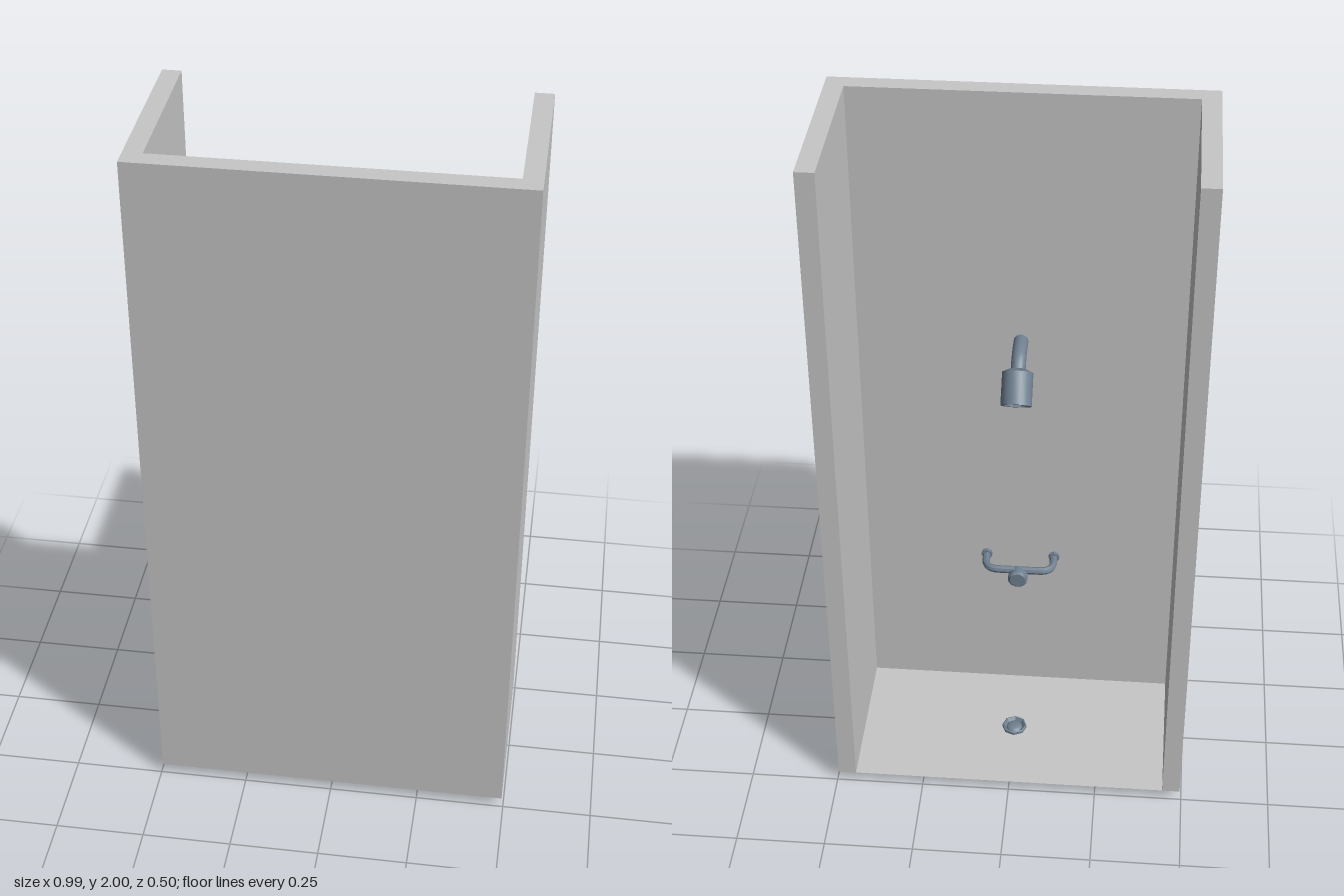
import * as THREE from 'three';
import { toCreasedNormals } from 'three/addons/utils/BufferGeometryUtils.js';

const V2 = (x, y) => new THREE.Vector2(x, y);
const V3 = (x, y, z) => new THREE.Vector3(x, y, z);

export function createModel() {
  const group = new THREE.Group();
  group.name = 'showerStall';
  const wallGrey = new THREE.MeshStandardMaterial({ color: 0xc6c6c6, side: THREE.DoubleSide });
  wallGrey.name = 'wallGrey';
  const steel = new THREE.MeshStandardMaterial({ color: 0x708090, side: THREE.DoubleSide });
  steel.name = 'steel';

  const add = (name, geometry, material, parent = group) => {
    const mesh = new THREE.Mesh(geometry, material);
    mesh.name = name;
    parent.add(mesh);
    return mesh;
  };
  const lathe = (points, sides) =>
    toCreasedNormals(new THREE.LatheGeometry(points.map(p => V2(...p)), sides), 0.6);

  // Walls: hollow U-shaped shell, open at the bottom, outline in (x, z)
  const X = 0.495, Z0 = -0.248, Z1 = 0.248, T = 0.05, Y0 = 0.03, Y1 = 2;
  const outline = [
    [-X, Z0], [-X, Z1], [X, Z1], [X, Z0],
    [X - T, Z0], [X - T, Z1 - T], [-X + T, Z1 - T], [-X + T, Z0],
  ];
  const positions = [];
  outline.forEach(([ax, az], i) => {
    const [bx, bz] = outline[(i + 1) % outline.length];
    positions.push(ax, Y0, az, bx, Y0, bz, bx, Y1, bz);
    positions.push(ax, Y0, az, bx, Y1, bz, ax, Y1, az);
  });
  const sides = new THREE.BufferGeometry();
  sides.setAttribute('position', new THREE.Float32BufferAttribute(positions, 3));
  sides.computeVertexNormals();
  add('walls', sides, wallGrey);

  // Top rim of the walls
  const rim = new THREE.ShapeGeometry(new THREE.Shape(outline.map(([x, z]) => V2(x, -z))));
  rim.rotateX(-Math.PI / 2);
  add('wallRim', rim, wallGrey).position.y = Y1;

  // Floor sheet between the walls
  const floor = new THREE.PlaneGeometry(2 * (X - T), Z1 - T - Z0);
  floor.rotateX(-Math.PI / 2);
  add('floor', floor, wallGrey).position.set(0, Y0, (Z0 + Z1 - T) / 2);

  // Drain: eight-sided cup with a flange and a round plug
  const drain = new THREE.Group();
  drain.name = 'drain';
  drain.position.z = -0.025;
  group.add(drain);
  add('drainCup', lathe([
    [0, 0.008], [0.015, 0.008], [0.02, 0], [0.03, 0.03], [0.036, 0.032],
    [0.036, 0.04], [0.032, 0.042], [0.024, 0.032], [0, 0.032],
  ], 8), steel, drain);
  const plug = new THREE.SphereGeometry(0.023, 20, 8, 0, Math.PI * 2, 0, Math.PI / 2);
  plug.scale(1, 0.4, 1);
  add('drainPlug', plug, steel, drain).position.y = 0.032;

  // Shower arm bending down from the wall
  const armPath = new THREE.CatmullRomCurve3([
    V3(0, 1.265, 0.198), V3(0, 1.264, 0.155), V3(0, 1.255, 0.12), V3(0, 1.228, 0.087),
  ]);
  add('showerArm', new THREE.TubeGeometry(armPath, 12, 0.02, 16), steel);

  // Shower head with a recessed face, tilted into the stall
  const head = add('showerHead', lathe([
    [0, 0.012], [0.03, 0.012], [0.033, 0], [0.042, 0], [0.042, 0.09], [0.02, 0.1], [0, 0.1],
  ], 24), steel);
  head.position.set(0, 1.17, 0.027);
  head.rotation.x = 0.714;

  // Tap pipe: straight run with a rounded bend at each end
  const y = 0.517, px = 0.098, pz = 0.125, r = 0.04;
  const pipe = new THREE.CurvePath();
  pipe.add(new THREE.LineCurve3(V3(-px, y, 0.198), V3(-px, y, pz + r)));
  pipe.add(new THREE.QuadraticBezierCurve3(V3(-px, y, pz + r), V3(-px, y, pz), V3(-px + r, y, pz)));
  pipe.add(new THREE.LineCurve3(V3(-px + r, y, pz), V3(px - r, y, pz)));
  pipe.add(new THREE.QuadraticBezierCurve3(V3(px - r, y, pz), V3(px, y, pz), V3(px, y, pz + r)));
  pipe.add(new THREE.LineCurve3(V3(px, y, pz + r), V3(px, y, 0.198)));
  add('tapPipe', toCreasedNormals(new THREE.TubeGeometry(pipe, 32, 0.011, 8), 0.6), steel);

  // Wall collars at the pipe ends
  for (const s of [-1, 1]) {
    const collar = new THREE.CylinderGeometry(0.016, 0.016, 0.011, 8);
    collar.rotateX(Math.PI / 2);
    add(s > 0 ? 'leftCollar' : 'rightCollar', toCreasedNormals(collar, 0.6), steel)
      .position.set(s * px, y, 0.192);
  }

  // Round tap knob in the middle of the pipe
  const knob = lathe([[0, 0], [0.014, 0], [0.014, 0.02], [0.028, 0.026], [0.028, 0.042], [0.022, 0.047], [0, 0.047]], 16);
  knob.rotateX(-Math.PI / 2);
  add('tapKnob', knob, steel).position.set(0, y, pz);

  return group;
}
